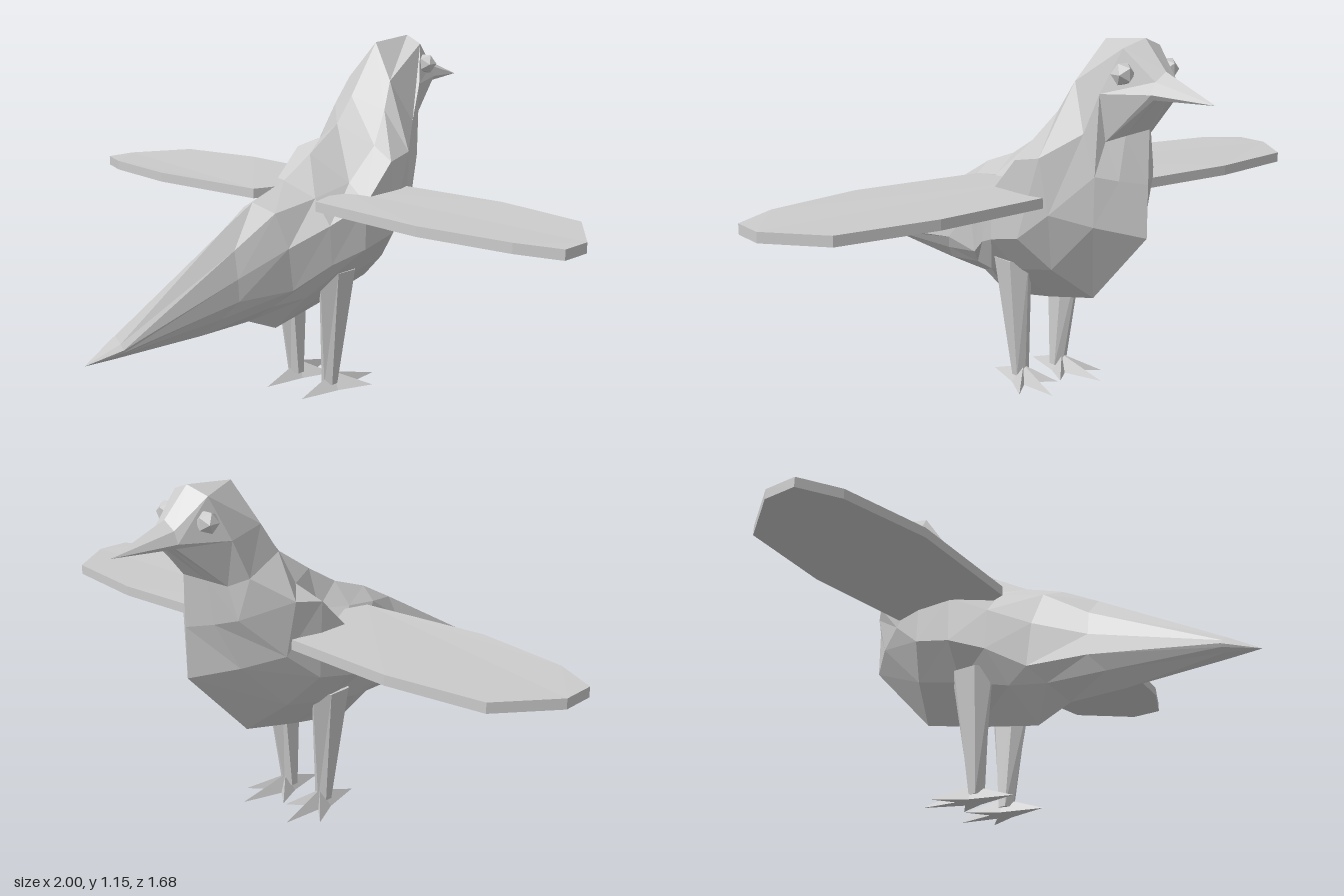
import * as THREE from 'three';

const material = new THREE.MeshStandardMaterial({ color: 0xcccccc, flatShading: true });

function addMesh(parent, name, geometry) {
  const mesh = new THREE.Mesh(geometry, material);
  mesh.name = name;
  parent.add(mesh);
  return mesh;
}

// Flat-shaded geometry from a list of triangles of [x, y, z] corners
function fromTriangles(triangles) {
  const g = new THREE.BufferGeometry();
  g.setAttribute('position', new THREE.Float32BufferAttribute(triangles.flat(2), 3));
  g.computeVertexNormals();
  return g;
}

// Skin over closed rings, ordered from tail to beak
function loft(rings) {
  const triangles = [];
  for (let i = 0; i < rings.length - 1; i++) {
    const n = rings[i].length;
    for (let j = 0; j < n; j++) {
      const k = (j + 1) % n;
      const a = rings[i][j], b = rings[i][k], c = rings[i + 1][j], d = rings[i + 1][k];
      triangles.push([a, b, c], [b, d, c]);
    }
  }
  // drop the zero-area triangles where a ring closes to a point
  return fromTriangles(triangles.filter(([a, b, c]) =>
    `${a}` !== `${b}` && `${b}` !== `${c}` && `${a}` !== `${c}`));
}

// Full ring from a half: back ridge, back crease, upper side, lower side, belly ridge
function ring([top, crease, upper, lower, bottom]) {
  const t = [0, ...top], b = [0, ...bottom];
  const belly = [lower[0] * 0.58, (lower[1] + b[1]) / 2, (lower[2] + b[2]) / 2];
  const half = [crease, upper, lower, belly];
  const mirrored = half.map(([x, y, z]) => [-x, y, z]).reverse();
  return [t, ...half, b, ...mirrored];
}

// Centre points are [y, z], side points [x, y, z]
const sections = [
  [[0.375, 0.73], [0.025, 0.355, 0.73], [0.04, 0.34, 0.73], [0.035, 0.33, 0.73], [0.305, 0.73]],
  [[0.61, 0.31], [0.045, 0.555, 0.30], [0.07, 0.47, 0.31], [0.075, 0.40, 0.31], [0.295, 0.40]],
  [[0.68, 0.18], [0.07, 0.65, 0.15], [0.11, 0.54, 0.13], [0.11, 0.40, 0.11], [0.295, 0.20]],
  [[0.73, 0.04], [0.10, 0.68, 0.00], [0.165, 0.60, 0.00], [0.165, 0.47, -0.01], [0.245, 0.08]],
  [[0.80, -0.08], [0.11, 0.71, -0.15], [0.21, 0.66, -0.12], [0.21, 0.51, -0.12], [0.29, -0.15]],
  [[0.885, -0.21], [0.12, 0.82, -0.26], [0.21, 0.78, -0.24], [0.21, 0.54, -0.25], [0.34, -0.36]],
  [[0.97, -0.28], [0.11, 0.93, -0.32], [0.20, 0.80, -0.34], [0.18, 0.63, -0.36], [0.58, -0.59]],
  [[1.14, -0.40], [0.09, 1.02, -0.37], [0.125, 0.88, -0.45], [0.115, 0.76, -0.49], [0.74, -0.59]],
  [[1.155, -0.565], [0.07, 1.13, -0.55], [0.11, 1.00, -0.50], [0.085, 0.86, -0.50], [0.90, -0.59]],
  [[1.07, -0.65], [0.04, 1.045, -0.65], [0.055, 1.01, -0.65], [0.045, 0.995, -0.65], [0.995, -0.66]],
].map(ring);
const point = (y, z) => sections[0].map(() => [0, y, z]);

// Flat wing plate with a slightly lowered tip
function wingGeometry(side) {
  const outline = [[0.08, -0.15], [0.17, -0.345], [0.56, -0.365], [0.87, -0.32], [1, -0.14],
    [1, -0.03], [0.87, 0.03], [0.57, 0.075], [0.14, 0.04]];
  const shape = new THREE.Shape(outline.map(([x, z]) => new THREE.Vector2(x * side, z)));
  const g = new THREE.ExtrudeGeometry(shape, { depth: 0.032, bevelEnabled: false });
  g.rotateX(Math.PI / 2).translate(0, 0.682, 0);
  const p = g.attributes.position;
  for (let i = 0; i < p.count; i++) {
    const drop = Math.max(0, Math.abs(p.getX(i)) - 0.8) * 0.05;
    p.setY(i, p.getY(i) - drop);
  }
  g.computeVertexNormals();
  return g;
}

// Tapered leg leaning outward towards the hip
function legGeometry(side) {
  const g = new THREE.CylinderGeometry(1, 1, 1, 6, 1);
  const p = g.attributes.position;
  for (let i = 0; i < p.count; i++) {
    const t = p.getY(i) + 0.5;
    const x = p.getX(i) * (0.028 + 0.022 * t) + side * (0.078 + 0.03 * t);
    const z = p.getZ(i) * (0.025 + 0.055 * t) - 0.097;
    p.setXYZ(i, x, 0.03 + 0.4 * t, z);
  }
  g.computeVertexNormals();
  return g;
}

// Star-shaped foot: tips and webs alternate round the rim
function footGeometry(side) {
  const rim = [[0.10, -0.29], [0.105, -0.15], [0.17, -0.21], [0.115, -0.10], [0.08, 0.04],
    [0.05, -0.10], [0.005, -0.20], [0.065, -0.15]]
    .map(([x, z]) => [x * side, 0.008 - 0.05 * Math.min(0, z + 0.05), z]);
  if (side < 0) rim.reverse();
  const top = [0.08 * side, 0.065, -0.115], sole = [0.08 * side, 0, -0.09];
  return fromTriangles(rim.flatMap((p, i) => {
    const q = rim[(i + 1) % rim.length];
    return [[top, q, p], [sole, p, q]];
  }));
}

export function createModel() {
  const bird = new THREE.Group();
  bird.name = 'bird';

  // Body with tail and head, then the beak
  addMesh(bird, 'body', loft([point(0.31, 0.84), ...sections]));
  addMesh(bird, 'beak', loft([sections[sections.length - 1], point(1.0, -0.84)]));

  // Paired parts
  for (const side of [1, -1]) {
    const label = side > 0 ? 'left' : 'right';
    addMesh(bird, `${label}Wing`, wingGeometry(side));
    addMesh(bird, `${label}Leg`, legGeometry(side));
    addMesh(bird, `${label}Foot`, footGeometry(side));
    addMesh(bird, `${label}Eye`, new THREE.IcosahedronGeometry(0.035, 0))
      .position.set(side * 0.085, 1.062, -0.567);
  }
  return bird;
}
